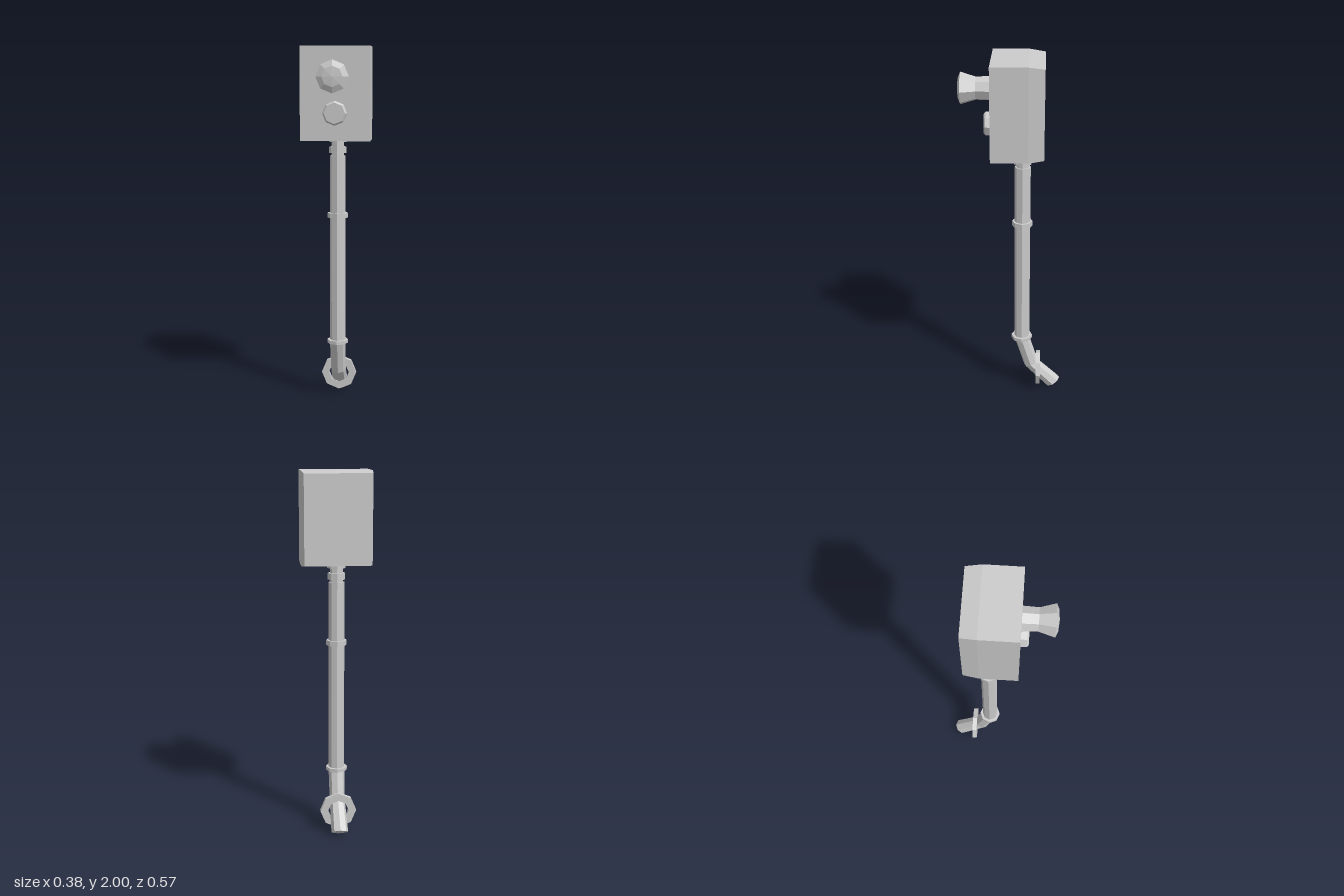
import * as THREE from 'three';

const SIDES = 8;
const material = new THREE.MeshStandardMaterial({ color: 0xcccccc, flatShading: true });

export function createModel() {
  const model = new THREE.Group();

  const add = (name, geometry, x = 0, y = 0, z = 0) => {
    geometry.computeVertexNormals();
    const mesh = new THREE.Mesh(geometry, material);
    mesh.name = name;
    mesh.position.set(x, y, z);
    model.add(mesh);
    return mesh;
  };

  // Eight-sided turned part from [radius, height] pairs
  const turned = (pairs) =>
    new THREE.LatheGeometry(pairs.map(([r, h]) => new THREE.Vector2(r, h)), SIDES);

  // Housing: a box whose rear third narrows slightly
  const housing = new THREE.BoxGeometry(0.38, 0.505, 0.281, 1, 1, 2);
  const p = housing.attributes.position;
  for (let i = 0; i < p.count; i++) {
    const z = p.getZ(i);
    if (Math.abs(z) < 0.01) p.setZ(i, -0.057);
    if (z < -0.1) {
      p.setX(i, p.getX(i) * 0.953);
      p.setY(i, p.getY(i) * 0.953);
    }
  }
  add('housing', housing, 0, 1.7475, -0.0335);

  // Flared horn and round button, facing forward
  const horn = turned([
    [0.065, 0], [0.062, 0.08], [0.087, 0.16], [0.055, 0.173], [0, 0.178],
  ]);
  add('horn', horn, 0, 1.838, 0.107).rotation.x = Math.PI / 2;
  const button = turned([[0.066, 0], [0.066, 0.03], [0.057, 0.04], [0, 0.04]]);
  add('button', button, 0, 1.645, 0.107).rotation.x = Math.PI / 2;

  // Straight pipe with the stepped fitting under the housing
  const pipeZ = -0.059;
  add('pipe', turned([
    [0.044, 0.33], [0.044, 1.405], [0.036, 1.405], [0.036, 1.42],
    [0.048, 1.42], [0.048, 1.455], [0.036, 1.455], [0.036, 1.482],
    [0.05, 1.482], [0.05, 1.5],
  ]), 0, 0, pipeZ);

  // Collars clamped around the pipe
  for (const [y, r, h] of [[1.07, 0.057, 0.028], [0.338, 0.06, 0.02]]) {
    add('collar', new THREE.CylinderGeometry(r, r, h, SIDES), 0, y, pipeZ);
  }

  // Bent spout: each row of a cylinder follows its own centre and tilt
  const rows = [
    { y: 0.335, z: pipeZ, tilt: 0, r: 0.045 },
    { y: 0.155, z: -0.115, tilt: 0.45, r: 0.043 },
    { y: 0.026, z: -0.246, tilt: 0.58, r: 0.047 },
  ];
  const spout = new THREE.CylinderGeometry(1, 1, 1, SIDES, 2);
  const s = spout.attributes.position;
  for (let i = 0; i < s.count; i++) {
    const row = rows[Math.round((0.5 - s.getY(i)) * 2)];
    const across = s.getZ(i) * row.r;
    s.setXYZ(
      i,
      s.getX(i) * row.r,
      row.y - across * Math.sin(row.tilt),
      row.z + across * Math.cos(row.tilt),
    );
  }
  add('spout', spout);

  // Flat eight-sided ring around the spout
  const octagon = (r) => Array.from({ length: SIDES }, (_, i) => {
    const a = (i / SIDES) * Math.PI * 2;
    return new THREE.Vector2(r * Math.cos(a), r * Math.sin(a));
  });
  const ringShape = new THREE.Shape(octagon(0.101));
  ringShape.holes.push(new THREE.Path(octagon(0.058)));
  const ring = new THREE.ExtrudeGeometry(ringShape, { depth: 0.026, bevelEnabled: false });
  add('ring', ring, 0, 0.121, -0.169);

  return model;
}
